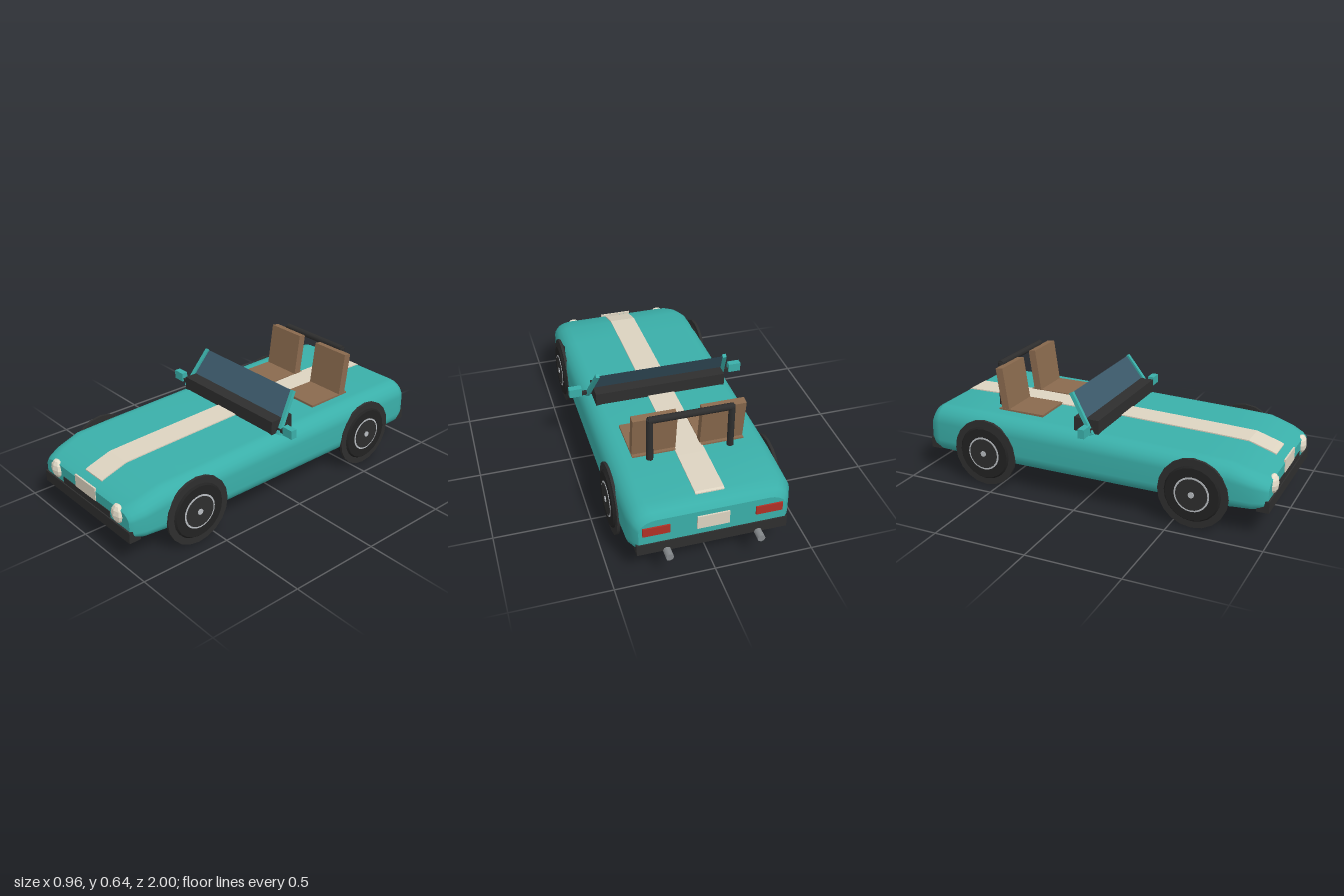
import * as THREE from 'three';

const mat = (name, color, extra = {}) => Object.assign(new THREE.MeshStandardMaterial({ color, ...extra }), { name });

export function createModel() {
  const car = new THREE.Group();
  car.name = 'roadster';
  const teal = mat('teal paint', 0x3aafa9);
  const cream = mat('cream', 0xdcd3c0);
  const lamp = mat('lamp glass', 0xe8e0cc, { flatShading: true });
  const black = mat('black trim', 0x2e2e2e);
  const rubber = mat('rubber', 0x222222);
  const brown = mat('brown leather', 0x8a6a4e);
  const glass = mat('tinted glass', 0x3c5a6b, { side: THREE.DoubleSide });
  const silver = mat('silver', 0xb8bcc0);
  const steel = mat('exhaust steel', 0x85898c);
  const red = mat('red lens', 0xb03026);

  const add = (name, geo, material, x = 0, y = 0, z = 0, parent = car) => {
    const m = new THREE.Mesh(geo, material);
    m.name = name;
    m.position.set(x, y, z);
    parent.add(m);
    return m;
  };
  // box given by its minimum and maximum on each axis
  const box = (name, material, x0, x1, y0, y1, z0, z1, parent = car) =>
    add(name, new THREE.BoxGeometry(Math.abs(x1 - x0), y1 - y0, z1 - z0), material,
      (x0 + x1) / 2, (y0 + y1) / 2, (z0 + z1) / 2, parent);

  // Body sections from tail to nose: z, half width, bottom, top
  const sections = [
    [-0.942, 0.365, 0.15, 0.335], [-0.92, 0.385, 0.142, 0.365], [-0.87, 0.408, 0.134, 0.392],
    [-0.6, 0.415, 0.13, 0.395], [0, 0.415, 0.13, 0.385], [0.6, 0.415, 0.13, 0.367],
    [0.78, 0.412, 0.13, 0.36], [0.9, 0.4, 0.135, 0.322], [0.955, 0.38, 0.143, 0.3],
    [0.975, 0.365, 0.155, 0.285],
  ];
  add('body', bodyGeometry(sections), teal);

  // Stripe that follows the top of the body
  const topAt = (z) => {
    const i = Math.max(1, sections.findIndex((s) => s[0] >= z));
    const [a, b] = [sections[i - 1], sections[i]];
    return THREE.MathUtils.lerp(a[3], b[3], (z - a[0]) / (b[0] - a[0]));
  };
  const zs = [-0.88, -0.87, -0.6, 0, 0.6, 0.78, 0.9, 0.925];
  const side = (lift) => zs.map((z) => new THREE.Vector2(z, topAt(z) + lift));
  const stripe = new THREE.ExtrudeGeometry(new THREE.Shape([...side(-0.003), ...side(0.006).reverse()]),
    { depth: 0.144, bevelEnabled: false });
  stripe.rotateY(-Math.PI / 2).translate(0.072, 0, 0);
  add('stripe', stripe, cream);

  // Bumpers, grille and plates
  box('frontBumper', black, -0.375, 0.375, 0.137, 0.197, 0.92, 0.984);
  box('grille', black, -0.207, 0.207, 0.16, 0.232, 0.94, 0.978);
  box('rearBumper', black, -0.375, 0.375, 0.137, 0.197, -0.948, -0.885);
  box('frontPlate', cream, -0.089, 0.089, 0.232, 0.302, 0.97, 0.979);
  box('rearPlate', cream, -0.08, 0.08, 0.235, 0.308, -0.95, -0.941);

  // Dashboard and windscreen
  box('dashboard', black, -0.355, 0.355, 0.37, 0.453, -0.065, 0.075);
  const pane = new THREE.BufferGeometry();
  pane.setAttribute('position', new THREE.Float32BufferAttribute([
    -0.37, 0.385, 0.047, 0.37, 0.385, 0.047, 0.34, 0.578, -0.08, -0.34, 0.578, -0.08], 3));
  pane.setIndex([0, 1, 2, 0, 2, 3]);
  pane.computeVertexNormals();
  add('windscreen', pane, glass);

  // Roll bar
  const bar = add('rollBarTop', new THREE.CylinderGeometry(0.018, 0.018, 0.43, 8), black, 0, 0.627, -0.577);
  bar.rotation.z = Math.PI / 2;

  // Wheel parts, turned about the x axis
  const lathe = (pts) => new THREE.LatheGeometry(pts.map((p) => new THREE.Vector2(...p)), 20).rotateZ(-Math.PI / 2);
  const tyreGeo = lathe([[0.0, 0.325], [0.138, 0.325], [0.155, 0.342], [0.155, 0.412], [0.14, 0.43], [0.0, 0.43]]
    .flatMap((p, i) => (i > 0 && i < 5 ? [p, p] : [p])));
  const disc = (r, x0, x1, n = 20) =>
    new THREE.CylinderGeometry(r, r, x1 - x0, n).rotateZ(-Math.PI / 2).translate((x0 + x1) / 2, 0, 0);
  const wheelParts = [
    ['tyre', tyreGeo, rubber],
    ['wheelFlange', disc(0.184, 0.405, 0.42), black],
    ['rim', disc(0.092, 0.42, 0.432, 24), silver],
    ['wheelDisc', disc(0.083, 0.42, 0.434, 24), black],
    ['hub', disc(0.016, 0.42, 0.438, 10), silver],
  ];

  for (const s of [1, -1]) {
    const label = s > 0 ? 'left' : 'right';
    for (const [end, z] of [['Front', 0.61], ['Rear', -0.573]]) {
      const wheel = new THREE.Group();
      wheel.name = label + end + 'Wheel';
      wheel.position.set(0, 0.185, z);
      wheel.rotation.y = s > 0 ? 0 : Math.PI;
      wheelParts.forEach(([n, g, m]) => add(n, g, m, 0, 0, 0, wheel));
      car.add(wheel);
    }

    // Lamps
    const head = add(label + 'Headlight', new THREE.SphereGeometry(1, 8, 6), lamp, s * 0.27, 0.25, 0.968);
    head.scale.set(0.047, 0.051, 0.03);
    box(label + 'TailLight', red, s * 0.212, s * 0.346, 0.25, 0.297, -0.95, -0.941);

    // Exhaust pipe
    add(label + 'Exhaust', new THREE.CylinderGeometry(0.02, 0.02, 0.12, 8).rotateX(Math.PI / 2), steel,
      s * 0.228, 0.138, -0.94);

    // Windscreen pillar
    const foot = new THREE.Vector3(s * 0.38, 0.382, 0.05);
    const tip = new THREE.Vector3(s * 0.345, 0.58, -0.08);
    const mid = foot.clone().add(tip).multiplyScalar(0.5);
    const pillar = add(label + 'Pillar', new THREE.BoxGeometry(0.02, foot.distanceTo(tip), 0.02), teal, mid.x, mid.y, mid.z);
    pillar.quaternion.setFromUnitVectors(new THREE.Vector3(0, 1, 0), tip.clone().sub(foot).normalize());

    // Mirror
    box(label + 'MirrorStalk', black, s * 0.36, s * 0.42, 0.397, 0.415, 0.028, 0.046);
    box(label + 'Mirror', teal, s * 0.413, s * 0.48, 0.397, 0.445, 0.02, 0.055);

    // Seat
    box(label + 'SeatCushion', brown, s * 0.066, s * 0.288, 0.35, 0.402, -0.55, -0.285);
    const back = add(label + 'SeatBack', new THREE.BoxGeometry(0.224, 0.25, 0.042), brown, s * 0.175, 0.502, -0.526);
    back.rotation.x = -0.14;

    add(label + 'RollBarPost', new THREE.CylinderGeometry(0.018, 0.018, 0.255, 8), black, s * 0.207, 0.505, -0.577);
  }
  return car;
}

// Smooth skin through rounded rectangles, with flat ends
function bodyGeometry(sections) {
  const steps = 5;
  const rings = sections.map(([z, w, y0, y1]) => {
    const k = (y1 - y0) / 0.26;
    const ring = [];
    // corners: centre signs, start angle, radii
    for (const [sx, sy, a0, rx, ry] of [[1, -1, -90, 0.06, 0.07], [1, 1, 0, 0.09, 0.09],
      [-1, 1, 90, 0.09, 0.09], [-1, -1, 180, 0.06, 0.07]]) {
      const cx = sx * (w - rx), cy = sy > 0 ? y1 - ry * k : y0 + ry * k;
      for (let i = 0; i <= steps; i++) {
        const a = THREE.MathUtils.degToRad(a0 + (90 * i) / steps);
        ring.push([cx + rx * Math.cos(a), cy + ry * k * Math.sin(a), z]);
      }
    }
    return ring;
  });
  const n = rings[0].length, last = rings.length - 1;
  const pos = rings.flat(2), index = [];
  for (let i = 0; i < last; i++) {
    for (let j = 0; j < n; j++) {
      const a = i * n + j, b = i * n + ((j + 1) % n);
      index.push(a, b, b + n, a, b + n, a + n);
    }
  }
  // end caps on their own vertices
  for (const [ring, front] of [[rings[0], false], [rings[last], true]]) {
    const start = pos.length / 3;
    pos.push(...ring.flat());
    for (let j = 1; j < n - 1; j++) {
      index.push(start, ...(front ? [start + j, start + j + 1] : [start + j + 1, start + j]));
    }
  }
  const geo = new THREE.BufferGeometry();
  geo.setAttribute('position', new THREE.Float32BufferAttribute(pos, 3));
  geo.setIndex(index);
  geo.computeVertexNormals();
  return geo;
}
